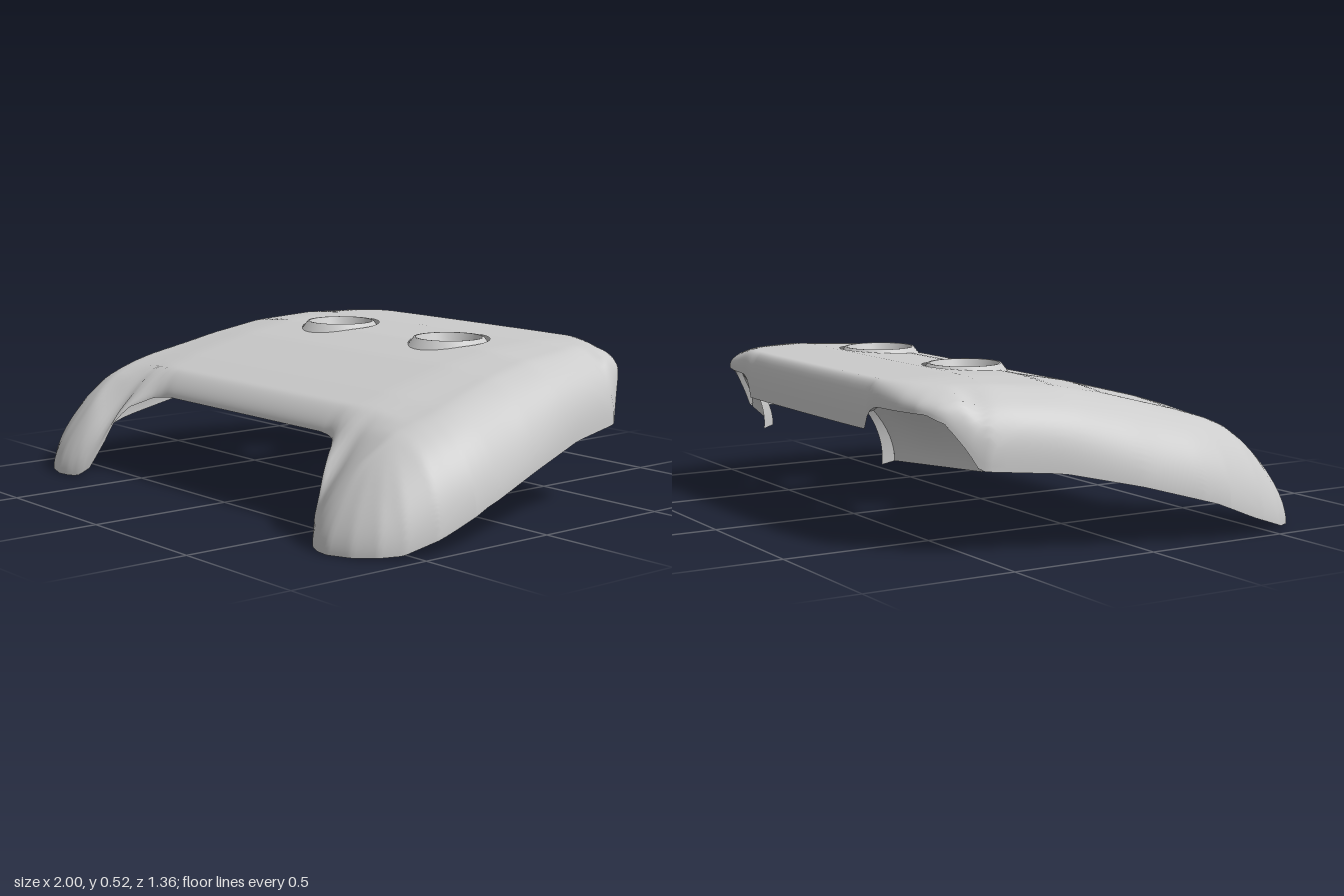
import * as THREE from 'three';

// Piecewise-linear lookup in a short list of [input, output] pairs
function table(pts, v) {
  if (v <= pts[0][0]) return pts[0][1];
  for (let i = 1; i < pts.length; i++) {
    const [a, p] = pts[i - 1], [b, q] = pts[i];
    if (v <= b) return p + (q - p) * (v - a) / (b - a);
  }
  return pts[pts.length - 1][1];
}
const smooth = THREE.MathUtils.smoothstep;
const lerp = THREE.MathUtils.lerp;

// Half outline seen from above: [x, z]
const BACK = [[0, -.685], [.3, -.683], [.45, -.678], [.6, -.66], [.68, -.64], [.74, -.6], [.83, -.48], [.9, -.2], [.95, 0], [.99, .2], [1, .3]];
const FRONT = [[0, .43], [.46, .43], [.5, .445], [.545, .49], [.585, .55], [.62, .615], [.66, .655], [.71, .675], [.76, .68], [.84, .655], [.91, .605], [.955, .54], [.988, .44], [1, .3]];
// Crown height and rim heights
const TOP = [[-.68, .515], [-.4, .523], [-.18, .51], [0, .477], [.25, .415], [.36, .382], [.43, .355], [.55, .285], [.62, .24], [.68, .2]];
const SIDE_RIM = [[-.5, .27], [-.25, .25], [0, .195], [.25, .125], [.4, .065], [.55, .015], [.68, .003]];
const FRONT_RIM = [[.42, .295], [.5, .285], [.56, .25], [.59, .19], [.61, .1], [.63, .04], [.66, .01], [.7, 0]];
const BACK_RIM = [[.425, .36], [.44, .415], [.48, .435], [.7, .435], [.75, .41], [.79, .33], [.815, .27]];
const STICK = { x: .29, z: -.24, r: .14 };

// Distance from a point to the outline
function edgeDistance(x, z) {
  let best = Infinity;
  for (const line of [BACK, FRONT]) {
    for (let i = 1; i < line.length; i++) {
      const [ax, az] = line[i - 1], [bx, bz] = line[i];
      const dx = bx - ax, dz = bz - az;
      const t = THREE.MathUtils.clamp(((x - ax) * dx + (z - az) * dz) / (dx * dx + dz * dz), 0, 1);
      best = Math.min(best, Math.hypot(x - ax - dx * t, z - az - dz * t));
    }
  }
  return best;
}

// Shell height: rim rising to the crown with a rounded shoulder
function shellHeight(x, z) {
  x = Math.abs(x);
  const sides = Math.max(table(SIDE_RIM, z), table(FRONT_RIM, x));
  const rim = lerp(table(BACK_RIM, x), sides, smooth(z, -.53, -.47));
  const crown = table(TOP, z) - .02 * smooth(x, .5, .8);
  const width = lerp(z < 0 ? .05 : .07, .23, smooth(x, .45, .78));
  const power = lerp(2.6, 1.9, smooth(z, -.4, .1));
  const k = 1 - Math.min(edgeDistance(x, z) / width, 1);
  return rim + (crown - rim) * Math.pow(1 - Math.pow(k, power), 1 / power);
}

function buildGeometry(positions, index) {
  const g = new THREE.BufferGeometry();
  g.setAttribute('position', new THREE.Float32BufferAttribute(positions, 3));
  g.setIndex(index);
  g.computeVertexNormals();
  return g;
}

// Open shell made of front-to-back columns, with two round stick holes
function shellGeometry() {
  const cols = 160, rows = 80, pts = [], inside = [], index = [];
  for (let i = 0; i <= cols; i++) {
    const x = Math.sin((i / cols - .5) * Math.PI);
    const zb = table(BACK, Math.abs(x)), zf = table(FRONT, Math.abs(x));
    for (let j = 0; j <= rows; j++) {
      const z = lerp(zb, zf, (1 - Math.cos(Math.PI * j / rows)) / 2);
      pts.push([x, z]);
      inside.push(Math.hypot(Math.abs(x) - STICK.x, z - STICK.z) < STICK.r);
    }
  }
  for (let i = 0; i < cols; i++) {
    for (let j = 0; j < rows; j++) {
      const a = i * (rows + 1) + j, b = a + rows + 1;
      for (const tri of [[a, a + 1, b], [b, a + 1, b + 1]]) {
        if (!tri.every(n => inside[n])) index.push(...tri);
      }
    }
  }
  const positions = [];
  pts.forEach(([x, z], n) => {
    if (inside[n]) { // push onto the hole edge
      const cx = Math.sign(x) * STICK.x, d = Math.hypot(x - cx, z - STICK.z) || 1;
      x = cx + (x - cx) * STICK.r / d;
      z = STICK.z + (z - STICK.z) * STICK.r / d;
    }
    positions.push(x, shellHeight(x, z), z);
  });
  return buildGeometry(positions, index);
}

// Surface through a grid of points given by fn(u, v)
function patch(fn, nu, nv) {
  const positions = [], index = [];
  for (let i = 0; i <= nu; i++) {
    for (let j = 0; j <= nv; j++) {
      positions.push(...fn(i / nu, j / nv));
      if (i < nu && j < nv) {
        const a = i * (nv + 1) + j, b = a + nv + 1;
        index.push(a, b, a + 1, b, b + 1, a + 1);
      }
    }
  }
  return buildGeometry(positions, index);
}

// Trigger recess wall: fills the arch of the opening, leaning back as it rises
function recessPoint(u, v) {
  const x = lerp(.812, .44, u);
  const y = lerp(lerp(.268, .255, u), table(BACK_RIM, x) + .004, v);
  const z = lerp(lerp(-.495, -.585, u), table(BACK, x) + .02, v * v);
  return [x, y, z];
}

export function createModel() {
  const model = new THREE.Group();
  model.name = 'gamepadShell';
  const material = new THREE.MeshStandardMaterial({ color: 0xcccccc, side: THREE.DoubleSide });
  const add = (name, geometry, parent = model) => {
    const mesh = new THREE.Mesh(geometry, material);
    mesh.name = name;
    parent.add(mesh);
    return mesh;
  };

  add('upperShell', shellGeometry());

  // Stick collar: a sloping skirt up to the lip, then a funnel down through the shell
  const skirt = new THREE.LatheGeometry([new THREE.Vector2(.152, .485), new THREE.Vector2(.12, .526), new THREE.Vector2(.114, .526)], 40);
  const funnel = new THREE.LatheGeometry([[.114, .526], [.102, .495], [.09, .465], [.08, .445]].map(([r, y]) => new THREE.Vector2(r, y)), 40);

  // Trigger recess parts
  const wall = patch(recessPoint, 24, 8);
  const lintel = patch((u, v) => { // joins the wall top to the shell edge
    const [x, y, z] = recessPoint(u, 1), zb = table(BACK, x);
    return [x, lerp(y, shellHeight(x, zb), v), lerp(z, zb, v)];
  }, 24, 1);
  const flange = patch((u, v) => { // curved strip on the inner end
    const [x, y, z] = recessPoint(1, u);
    return [x - .01 * v, y - .01 * v * (1 - u), z - lerp(.04, .02, u) * v];
  }, 10, 2);

  for (const side of [1, -1]) {
    const label = side > 0 ? 'left' : 'right';
    const collar = new THREE.Group();
    collar.name = label + 'StickCollar';
    collar.position.set(side * STICK.x, 0, STICK.z);
    add('collarSkirt', skirt, collar);
    add('collarFunnel', funnel, collar);
    const trigger = new THREE.Group();
    trigger.name = label + 'TriggerRecess';
    trigger.scale.x = side;
    add('recessWall', wall, trigger);
    add('recessLintel', lintel, trigger);
    add('recessFlange', flange, trigger);
    model.add(collar, trigger);
  }
  return model;
}
